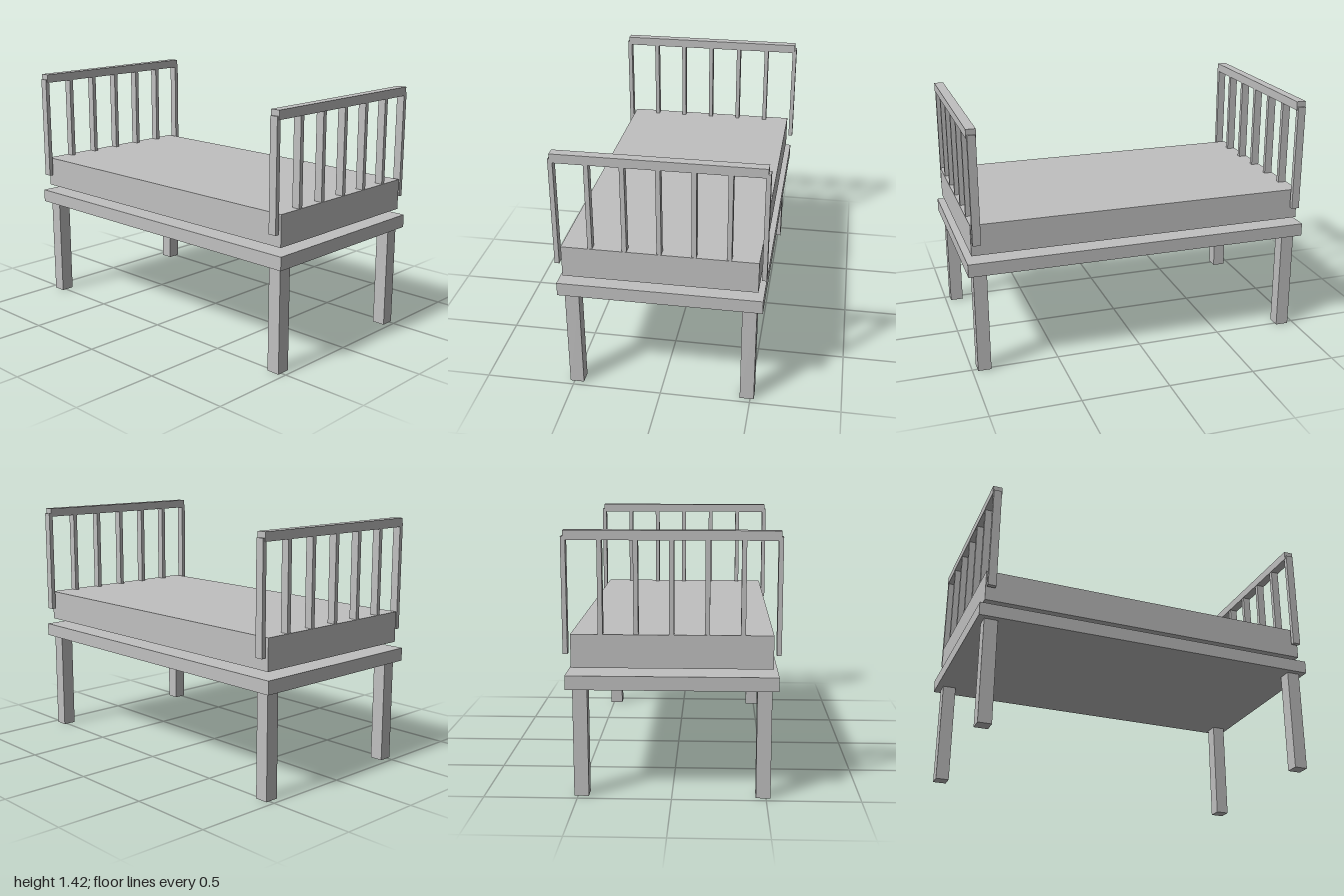
import * as THREE from 'three';

export function createModel() {
  const bed = new THREE.Group();
  bed.name = 'bed';
  const grey = new THREE.MeshStandardMaterial({ color: 0xc0c0c0 });
  grey.name = 'plain grey';

  // Box given by its limits along each axis
  function block(name, [x0, x1], [y0, y1], [z0, z1], parent = bed) {
    const mesh = new THREE.Mesh(new THREE.BoxGeometry(x1 - x0, y1 - y0, z1 - z0), grey);
    mesh.position.set((x0 + x1) / 2, (y0 + y1) / 2, (z0 + z1) / 2);
    mesh.name = name;
    parent.add(mesh);
  }

  // Base slab, with the mattress floating just above it
  block('bedBase', [-0.557, 0.553], [0.592, 0.667], [-1, 1]);
  block('mattress', [-0.528, 0.524], [0.703, 0.88], [-0.968, 0.973]);

  // Four square legs
  for (const x of [[-0.524, -0.446], [0.442, 0.52]]) {
    for (const z of [[-0.964, -0.888], [0.893, 0.969]]) block('leg', x, [0, 0.592], z);
  }

  // Matching headboard and footboard: a top rail over seven upright bars
  for (const [name, z] of [['headboard', -0.941], ['footboard', 0.947]]) {
    const board = new THREE.Group();
    board.name = name;
    bed.add(board);
    block('topRail', [-0.557, 0.553], [1.367, 1.417], [z - 0.027, z + 0.027], board);
    for (let i = -3; i <= 3; i++) {
      const x = -0.001 + i * 0.1845;
      block(Math.abs(i) === 3 ? 'cornerPost' : 'bar',
        [x - 0.0125, x + 0.0125], [0.775, 1.386], [z - 0.023, z + 0.023], board);
    }
  }
  return bed;
}
